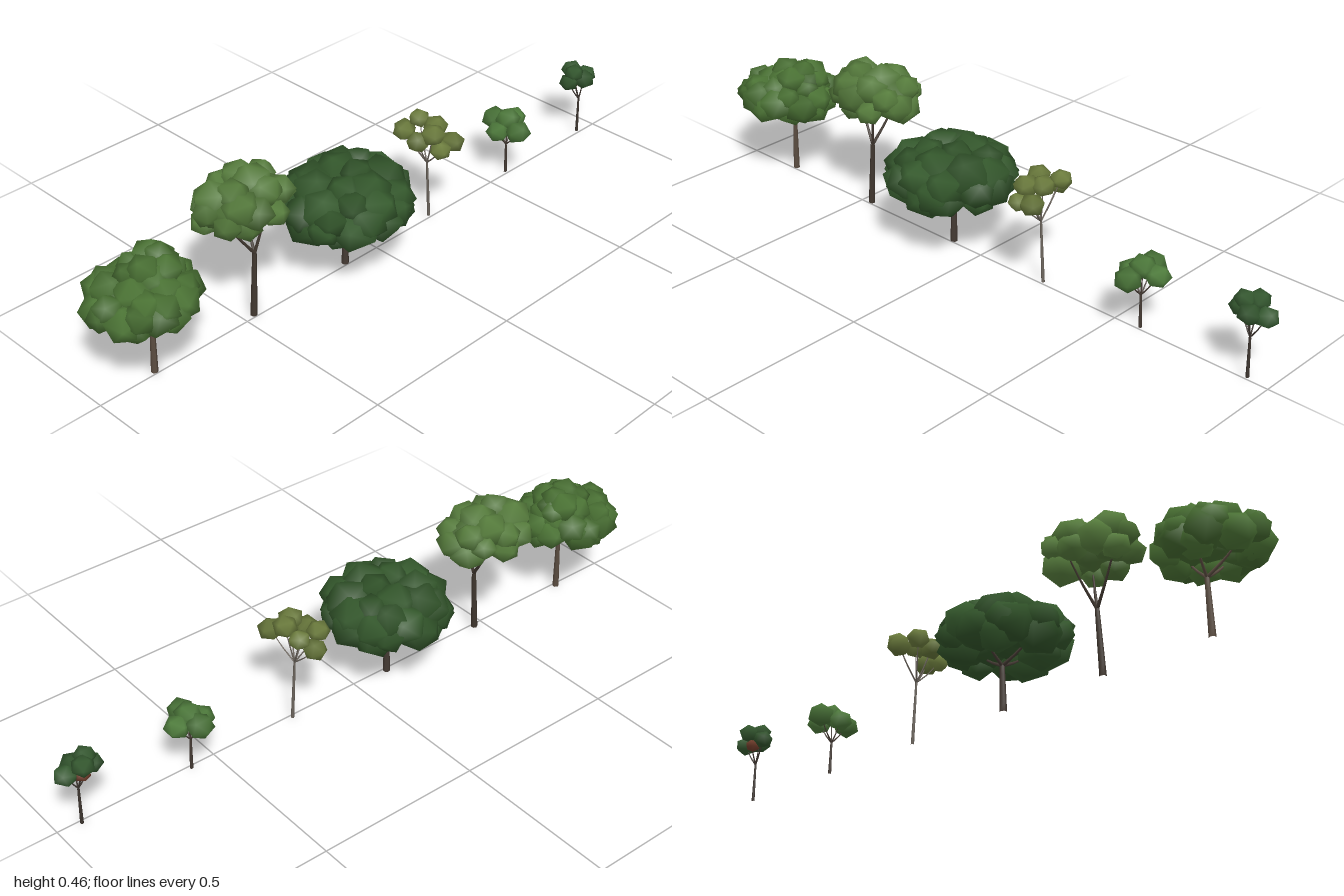
import * as THREE from 'three';

let seed = 7;
const rand = () => (seed = (seed * 16807) % 2147483647) / 2147483647;
const GOLDEN = 2.39996;
const TRUNK_Z = -0.01;

// Low-poly leaf ball with smooth normals
const leafGeometry = new THREE.IcosahedronGeometry(1, 0);
leafGeometry.setAttribute('normal', leafGeometry.getAttribute('position').clone());

// Three close shades of one leaf colour
const shades = (hex) => [0.86, 1, 1.1].map((k) =>
  new THREE.MeshStandardMaterial({ color: new THREE.Color(hex).multiplyScalar(k) }));

// Slightly flattened ball of leaves, turned at random
function leafClump(position, r, material) {
  const ball = new THREE.Mesh(leafGeometry, material);
  ball.name = 'leafBall';
  ball.rotation.set(rand() * 6, rand() * 6, rand() * 6);
  ball.scale.setScalar(r);
  const clump = new THREE.Group();
  clump.name = 'leafClump';
  clump.position.copy(position);
  clump.scale.y = 0.85;
  clump.add(ball);
  return clump;
}

// Tapered limb through a few points
function limb(points, r0, r1, material, name) {
  const sides = 6, steps = 5;
  const curve = new THREE.CatmullRomCurve3(points);
  const geo = new THREE.TubeGeometry(curve, steps, 1, sides, false);
  const pos = geo.getAttribute('position');
  const p = new THREE.Vector3();
  for (let i = 0; i <= steps; i++) {
    const c = curve.getPointAt(i / steps);
    const r = THREE.MathUtils.lerp(r0, r1, i / steps);
    for (let j = 0; j <= sides; j++) {
      const k = i * (sides + 1) + j;
      p.fromBufferAttribute(pos, k).sub(c).multiplyScalar(r).add(c);
      pos.setXYZ(k, p.x, p.y, p.z);
    }
  }
  geo.computeVertexNormals();
  const mesh = new THREE.Mesh(geo, material);
  mesh.name = name;
  return mesh;
}

// Half-width of a dome that is widest a little below its middle
function domeRing(y) {
  const t = y + 0.2;
  return t > 0 ? Math.sqrt(1 - (t / 1.2) ** 2.6) : Math.sqrt(1 - (t / 0.8) ** 4);
}

// Lobe of a large crown: clumps spread by the golden angle over a dome
function addLobe(crown, greens, { centre: [cx, cy, cz], half: [hx, hy, hz], count, size, slant = 0 }) {
  for (let i = 0; i < count; i++) {
    const y = 1 - (i + 0.5) / count * 1.9;
    const a = i * GOLDEN + rand() * 0.5;
    const r = size * (0.8 + rand() * 0.5);
    const x = Math.cos(a) * domeRing(y), z = Math.sin(a) * domeRing(y);
    const position = new THREE.Vector3(
      cx + x * (hx - r * 0.88), cy + y * (hy - r * 0.75) + slant * x, cz + z * (hz - r * 0.88));
    crown.add(leafClump(position, r, greens[Math.floor(rand() * 3)]));
  }
  // filling inside
  for (const s of [-0.4, 0, 0.4]) {
    crown.add(leafClump(new THREE.Vector3(cx + s * hx, cy, cz), hy * 0.8, greens[0]));
  }
}

const largeTrees = [
  { name: 'broadTree', leaf: 0x486f32, bark: 0x5a4c40, baseX: -0.815, fork: [-0.81, 0.17], r: 0.01, branches: 4,
    lobes: [
      { centre: [-0.834, 0.26, -0.012], half: [0.167, 0.078, 0.153], count: 30, size: 0.052 },
      { centre: [-0.795, 0.318, -0.02], half: [0.1, 0.06, 0.09], count: 10, size: 0.045 },
    ] },
  { name: 'forkedTree', leaf: 0x53783a, bark: 0x40372f, baseX: -0.467, fork: [-0.455, 0.2], r: 0.01, branches: 3,
    lobes: [{ centre: [-0.465, 0.365, -0.04], half: [0.158, 0.09, 0.122], count: 20, size: 0.052 }] },
  { name: 'darkTree', leaf: 0x33572b, bark: 0x443a33, baseX: -0.117, fork: [-0.115, 0.14], r: 0.011, branches: 4,
    lobes: [{ centre: [-0.12, 0.232, 0], half: [0.2, 0.102, 0.19], count: 36, size: 0.064, slant: 0.008 }] },
];

// Leaf clump centres of the small trees
const oliveClumps = [
  [0.21, 0.275, -0.092], [0.17, 0.3, -0.055], [0.243, 0.308, -0.065], [0.17, 0.285, 0], [0.238, 0.312, 0.005],
  [0.2, 0.27, 0.06], [0.248, 0.278, 0.06], [0.2, 0.308, 0.03]];
const smallClumps = [
  [0.575, 0.175, -0.058], [0.538, 0.16, -0.012], [0.622, 0.172, -0.02], [0.57, 0.165, 0.04], [0.58, 0.188, -0.01]];
const twinClumps = [
  [0.886, 0.192, -0.02], [0.925, 0.215, -0.043], [0.966, 0.19, -0.02], [0.93, 0.195, 0.003], [0.902, 0.22, -0.015]];

const smallTrees = [
  { name: 'oliveTree', leaf: 0x6a7a3c, bark: 0x6b645c, baseX: 0.232, fork: [0.22, 0.19], r: 0.005,
    clumps: oliveClumps, size: 0.036 },
  { name: 'smallTree', leaf: 0x4c783a, bark: 0x443a33, baseX: 0.58, fork: [0.577, 0.1], r: 0.005,
    clumps: smallClumps, size: 0.04 },
  { name: 'twinTree', leaf: 0x34582f, bark: 0x3c342e, baseX: 0.93, fork: [0.928, 0.12], r: 0.005,
    clumps: twinClumps, size: 0.034 },
];

// Trunk up to the fork, with a thin branch to each tip
function makeWood({ bark, baseX, fork, r }, tips) {
  const wood = new THREE.Group();
  wood.name = 'wood';
  const material = new THREE.MeshStandardMaterial({ color: bark });
  const base = new THREE.Vector3(baseX, 0, TRUNK_Z);
  const top = new THREE.Vector3(...fork, TRUNK_Z);
  wood.add(limb([base, base.clone().lerp(top, 0.5), top], r, r * 0.65, material, 'trunk'));
  for (const tip of tips) {
    const bend = top.clone().lerp(tip, 0.5);
    bend.y -= 0.006;
    wood.add(limb([top, bend, tip], r * 0.5, r * 0.2, material, 'branch'));
  }
  return wood;
}

function makeTree(t, tips, fillCrown) {
  const tree = new THREE.Group();
  tree.name = t.name;
  const crown = new THREE.Group();
  crown.name = 'crown';
  fillCrown(crown, shades(t.leaf));
  tree.add(makeWood(t, tips), crown);
  return tree;
}

function makeLargeTree(t) {
  const { centre, half } = t.lobes[0];
  const tips = Array.from({ length: t.branches }, (_, i) => {
    const a = i / t.branches * Math.PI * 2 + Math.PI;
    return new THREE.Vector3(Math.cos(a) * 0.5, -0.25, Math.sin(a) * 0.5)
      .multiply(new THREE.Vector3(...half)).add(new THREE.Vector3(...centre));
  });
  return makeTree(t, tips, (crown, greens) => t.lobes.forEach((lobe) => addLobe(crown, greens, lobe)));
}

function makeSmallTree(t) {
  const tips = t.clumps.map((c) => new THREE.Vector3(...c));
  return makeTree(t, tips, (crown, greens) => tips.forEach((tip, i) =>
    crown.add(leafClump(tip, t.size * (0.92 + rand() * 0.16), greens[i % 3]))));
}

export function createModel() {
  seed = 7;
  const model = new THREE.Group();
  model.name = 'treeRow';
  model.add(...largeTrees.map(makeLargeTree), ...smallTrees.map(makeSmallTree));

  // reddish leaves under the last crown
  const redLeaf = new THREE.MeshStandardMaterial({ color: 0x6f3c2a });
  model.add(leafClump(new THREE.Vector3(0.922, 0.178, -0.03), 0.024, redLeaf));
  return model;
}
